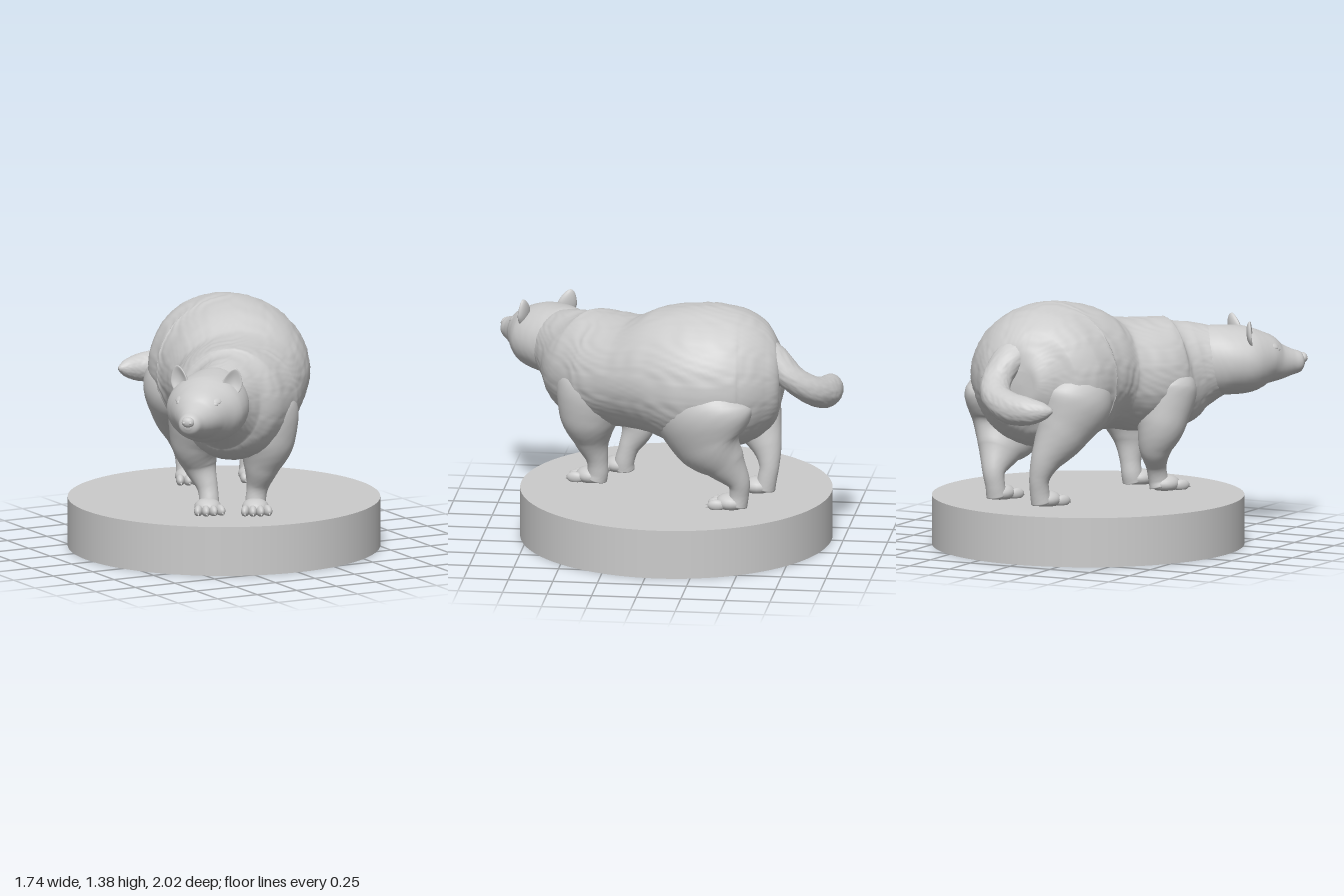
import * as THREE from 'three';

const mat = new THREE.MeshStandardMaterial({ color: 0xcccccc });
const UP = [0, 1, 0];
const FORWARD = [-0.42, 0, 0.91];

function add(parent, name, geo, pos = [0, 0, 0], scale = [1, 1, 1], rot = [0, 0, 0]) {
  const mesh = new THREE.Mesh(geo, mat);
  mesh.name = name;
  mesh.position.set(...pos);
  mesh.scale.set(...scale);
  mesh.rotation.set(...rot);
  parent.add(mesh);
  return mesh;
}

// Smooth skin through elliptical rows [x, y, z, half width, half depth];
// ref is the direction the depth points to, fur the depth of the hair streaks
function loft(rows, ref, fur = 0, rings = 60, sides = 40) {
  const path = new THREE.CatmullRomCurve3(rows.map(r => new THREE.Vector3(r[0], r[1], r[2])), false, 'catmullrom');
  const size = new THREE.CatmullRomCurve3(rows.map(r => new THREE.Vector3(r[3], r[4], 0)), false, 'catmullrom');
  const pos = [], index = [], up = new THREE.Vector3(...ref);
  for (let i = 0; i <= rings; i++) {
    const u = i / rings;
    const c = path.getPoint(u), s = size.getPoint(u), t = path.getTangent(u);
    const side = up.clone().cross(t).normalize();
    const n = t.clone().cross(side);
    const end = i === 0 || i === rings ? 0 : 1;
    for (let j = 0; j < sides; j++) {
      const a = j / sides * Math.PI * 2;
      const streak = Math.sin(a * 27 + 3 * Math.sin(u * 23)) * Math.sin(u * 70 + 4 * Math.sin(a * 7));
      const k = end * (1 + fur * streak);
      const p = c.clone()
        .addScaledVector(side, Math.cos(a) * s.x * k)
        .addScaledVector(n, Math.sin(a) * s.y * k);
      pos.push(p.x, p.y, p.z);
      if (i < rings) {
        const q = i * sides + j, r = i * sides + (j + 1) % sides;
        index.push(q, r, r + sides, q, r + sides, q + sides);
      }
    }
  }
  const geo = new THREE.BufferGeometry();
  geo.setAttribute('position', new THREE.Float32BufferAttribute(pos, 3));
  geo.setIndex(index);
  geo.computeVertexNormals();
  return geo;
}

// Foot with four fanned toes and claws
function makePaw(name, x, z, turn) {
  const paw = new THREE.Group();
  const ball = new THREE.SphereGeometry(1, 20, 14);
  add(paw, 'footPad', ball, [0, 0.035, -0.02], [0.075, 0.05, 0.085]);
  for (let i = 0; i < 4; i++) {
    const k = i - 1.5;
    const reach = 0.06 - 0.012 * Math.abs(k);
    add(paw, 'toe', ball, [k * 0.041, 0.026, reach], [0.024, 0.032, 0.05], [0, k * 0.15, 0]);
    add(paw, 'claw', new THREE.ConeGeometry(0.009, 0.035, 8), [k * 0.046, 0.015, reach + 0.05], [1, 1, 1], [1.8, 0, 0]);
  }
  paw.name = name;
  paw.position.set(x, 0.275, z);
  paw.rotation.y = turn;
  return paw;
}

// Pointed ear: a flattened ball narrowed to the tip with a hollowed front
function earGeometry() {
  const geo = new THREE.SphereGeometry(1, 24, 18);
  const p = geo.attributes.position;
  for (let i = 0; i < p.count; i++) {
    const x = p.getX(i), y = p.getY(i), z = p.getZ(i);
    p.setX(i, x * (1 - 0.3 * Math.max(y, 0)));
    if (z > 0) p.setZ(i, z * (1 - 1.5 * z));
  }
  geo.computeVertexNormals();
  return geo;
}

function makeHead() {
  const head = new THREE.Group();
  head.name = 'head';
  head.position.set(-0.55, 0.97, 0.74);
  head.rotation.y = -0.78;
  add(head, 'skullAndMuzzle', loft([
    [0, 0, -0.28, 0.15, 0.17], [0, 0, -0.2, 0.19, 0.195], [0, 0, -0.1, 0.22, 0.195],
    [0, -0.005, 0.02, 0.22, 0.185], [0, -0.01, 0.12, 0.17, 0.15], [0, -0.025, 0.2, 0.115, 0.108],
    [0, -0.03, 0.28, 0.076, 0.075], [0, -0.03, 0.335, 0.056, 0.055], [0, -0.03, 0.36, 0.015, 0.015],
  ], UP, 0.004));
  const ball = new THREE.SphereGeometry(1, 20, 14);
  add(head, 'nose', ball, [0, -0.01, 0.35], [0.036, 0.03, 0.025]);
  for (const s of [-1, 1]) {
    add(head, 'ear', earGeometry(), [s * 0.155, 0.155, 0], [0.057, 0.082, 0.026], [-0.1, s * 0.35, -s * 0.22]);
    add(head, 'eye', ball, [s * 0.102, 0.06, 0.165], [0.02, 0.017, 0.02]);
    add(head, 'brow', ball, [s * 0.1, 0.082, 0.145], [0.035, 0.015, 0.035], [0.4, 0, -s * 0.4]);
    add(head, 'nostril', ball, [s * 0.018, -0.012, 0.369], [0.009, 0.008, 0.006]);
  }
  return head;
}

export function createModel() {
  const model = new THREE.Group();
  model.name = 'animalOnPlinth';

  // Plinth
  add(model, 'plinth', new THREE.CylinderGeometry(0.87, 0.87, 0.277, 96), [0, 0.1385, -0.065]);

  // Trunk from rump to neck
  add(model, 'body', loft([
    [0.1, 0.97, -0.68, 0.06, 0.06], [0.1, 0.97, -0.655, 0.18, 0.19], [0.11, 0.97, -0.59, 0.3, 0.3],
    [0.12, 0.97, -0.45, 0.4, 0.38], [0.13, 0.97, -0.25, 0.435, 0.405], [0.08, 0.97, -0.06, 0.41, 0.375],
    [0, 0.94, 0.12, 0.365, 0.315], [-0.13, 0.915, 0.3, 0.35, 0.315], [-0.24, 0.915, 0.46, 0.29, 0.31],
    [-0.34, 0.945, 0.56, 0.215, 0.25], [-0.45, 0.97, 0.65, 0.18, 0.19],
  ], UP, 0.008, 130, 120));

  // Head
  model.add(makeHead());

  // Legs
  const legs = {
    frontLeftLeg: [[-0.04, 1.0, 0.36, 0.1, 0.1], [-0.01, 0.86, 0.39, 0.2, 0.21], [0, 0.68, 0.42, 0.165, 0.175],
      [-0.02, 0.53, 0.41, 0.1, 0.105], [-0.03, 0.42, 0.385, 0.062, 0.062], [-0.04, 0.34, 0.38, 0.057, 0.058], [-0.045, 0.29, 0.39, 0.06, 0.06]],
    frontRightLeg: [[-0.28, 1.0, 0.28, 0.1, 0.1], [-0.3, 0.85, 0.26, 0.2, 0.18], [-0.32, 0.67, 0.2, 0.145, 0.14],
      [-0.29, 0.53, 0.19, 0.095, 0.095], [-0.27, 0.42, 0.235, 0.06, 0.058], [-0.27, 0.34, 0.26, 0.055, 0.055], [-0.28, 0.29, 0.265, 0.06, 0.06]],
    rearLeftLeg: [[0.33, 1.05, -0.27, 0.12, 0.15], [0.37, 0.85, -0.26, 0.2, 0.3], [0.39, 0.66, -0.3, 0.15, 0.23],
      [0.39, 0.54, -0.39, 0.105, 0.13], [0.385, 0.44, -0.46, 0.066, 0.068], [0.375, 0.36, -0.465, 0.055, 0.055], [0.37, 0.29, -0.45, 0.06, 0.06]],
    rearRightLeg: [[-0.06, 1.05, -0.38, 0.12, 0.14], [-0.09, 0.87, -0.42, 0.2, 0.23], [-0.06, 0.69, -0.5, 0.145, 0.16],
      [0, 0.54, -0.57, 0.085, 0.09], [0.03, 0.44, -0.59, 0.058, 0.058], [0.035, 0.36, -0.58, 0.054, 0.054], [0.03, 0.29, -0.565, 0.058, 0.058]],
  };
  for (const [name, rows] of Object.entries(legs)) add(model, name, loft(rows, FORWARD, 0.004));

  // Paws
  model.add(
    makePaw('frontLeftPaw', -0.075, 0.445, -0.4),
    makePaw('frontRightPaw', -0.305, 0.315, -0.35),
    makePaw('rearLeftPaw', 0.36, -0.395, -0.2),
    makePaw('rearRightPaw', 0.015, -0.5, -0.25),
  );

  // Tail sweeping down and round to the right
  add(model, 'tail', loft([
    [0.17, 1.17, -0.5, 0.12, 0.09], [0.2, 1.1, -0.63, 0.1, 0.085], [0.22, 1.0, -0.74, 0.085, 0.075],
    [0.17, 0.92, -0.84, 0.085, 0.08], [0.06, 0.875, -0.9, 0.088, 0.088], [-0.06, 0.865, -0.92, 0.075, 0.08],
    [-0.16, 0.87, -0.91, 0.045, 0.05], [-0.215, 0.875, -0.9, 0.01, 0.01],
  ], UP, 0.02, 70, 60));

  return model;
}
